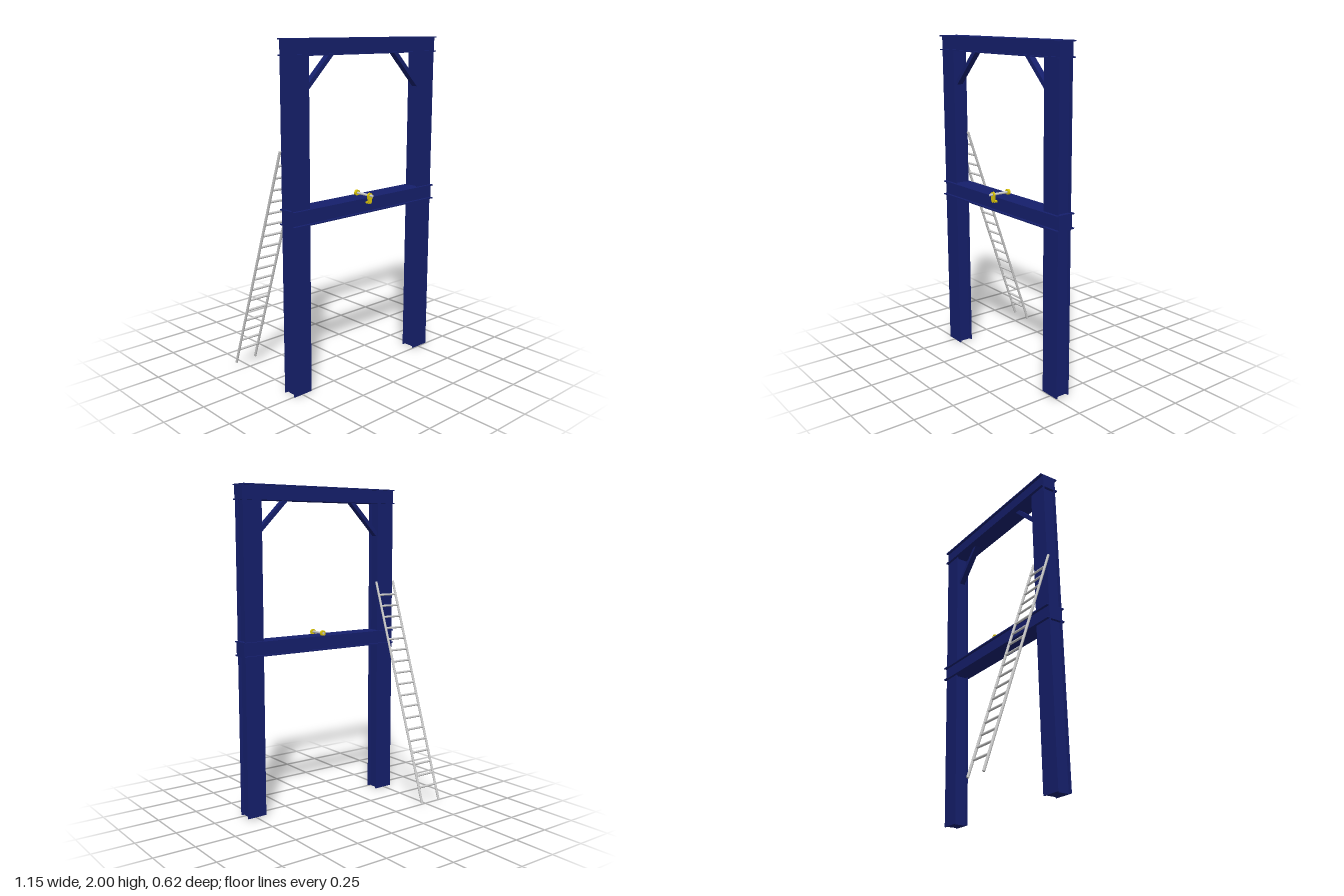
import * as THREE from 'three';

const NAVY = new THREE.MeshStandardMaterial({ color: 0x151f6c });
const YELLOW = new THREE.MeshStandardMaterial({ color: 0xdcc60c });
const GREY = new THREE.MeshStandardMaterial({ color: 0xcccccc });
const FRAME_Z = 0.213;

function add(parent, name, geometry, material, x = 0, y = 0, z = 0) {
  const mesh = new THREE.Mesh(geometry, material);
  mesh.name = name;
  mesh.position.set(x, y, z);
  parent.add(mesh);
  return mesh;
}

// Thick-webbed I-section extruded along +z: flanges lie along x, web along y
function iBeamGeometry(length) {
  const w = 0.0625, h = 0.045, t = 0.007, web = 0.045;
  const shape = new THREE.Shape([
    [-w, -h], [w, -h], [w, -h + t], [web, -h + t], [web, h - t], [w, h - t],
    [w, h], [-w, h], [-w, h - t], [-web, h - t], [-web, -h + t], [-w, -h + t],
  ].map(([x, y]) => new THREE.Vector2(x, y)));
  return new THREE.ExtrudeGeometry(shape, { depth: length, bevelEnabled: false });
}

// Round bar between two points
function rod(parent, name, a, b, radius, material, sides = 12) {
  const dir = b.clone().sub(a);
  const mesh = add(parent, name, new THREE.CylinderGeometry(radius, radius, dir.length(), sides), material);
  mesh.position.copy(a).add(b).multiplyScalar(0.5);
  mesh.quaternion.setFromUnitVectors(new THREE.Vector3(0, 1, 0), dir.normalize());
  return mesh;
}

function createFrame() {
  const frame = new THREE.Group();
  frame.name = 'steelFrame';

  // Cross beams with their flanges facing up and down
  for (const [name, y, end] of [['topBeam', 1.955, 0.568], ['middleBeam', 1.041, 0.573]]) {
    const beam = add(frame, name, iBeamGeometry(end + 0.557), NAVY, -0.557, y, FRAME_Z);
    beam.rotation.y = Math.PI / 2;
  }

  // Column lengths below and above the middle beam, flanges facing front and back
  for (const [name, x, base] of [['rightColumn', -0.494, 0], ['leftColumn', 0.502, 0.008]]) {
    for (const [part, from, to] of [['Lower', base, 0.998], ['Upper', 1.084, 1.912]]) {
      const column = add(frame, name + part, iBeamGeometry(to - from), NAVY, x, from, FRAME_Z);
      column.rotation.x = -Math.PI / 2;
    }
  }

  // Diagonal corner braces
  for (const side of [-1, 1]) {
    const brace = add(frame, side < 0 ? 'rightBrace' : 'leftBrace',
      new THREE.BoxGeometry(0.3, 0.025, 0.038), NAVY, side * 0.345 + 0.005, 1.82, FRAME_Z);
    brace.rotation.z = -side * Math.PI / 4;
  }
  return frame;
}

function createClamp() {
  const clamp = new THREE.Group();
  clamp.name = 'beamClamp';
  clamp.position.x = 0.003;

  // Hanging front plate with a hole for the spindle
  const plate = new THREE.Shape();
  plate.absarc(0, 1.097, 0.019, 0, Math.PI, false);
  plate.absarc(0, 1.064, 0.013, Math.PI, Math.PI * 2, false);
  const hole = new THREE.Path();
  hole.absarc(0, 1.1, 0.007, 0, Math.PI * 2, true);
  plate.holes.push(hole);
  add(clamp, 'clampPlate', new THREE.ExtrudeGeometry(plate, { depth: 0.01, bevelEnabled: false }), YELLOW, 0, 0, 0.279);
  add(clamp, 'clampFoot', new THREE.BoxGeometry(0.02, 0.011, 0.022), YELLOW, 0, 1.057, 0.271);

  // Spindle across the beam top and the collar at its back end
  const at = z => new THREE.Vector3(0, 1.1, z);
  rod(clamp, 'spindle', at(0.168), at(0.308), 0.0075, GREY, 16);
  rod(clamp, 'rearCollar', at(0.17), at(0.184), 0.018, YELLOW, 20);
  return clamp;
}

function createLadder() {
  const ladder = new THREE.Group();
  ladder.name = 'ladder';
  const xs = [-0.566, -0.424];
  const at = (x, t) => new THREE.Vector3(x, 0.031 + 1.377 * t, -0.3 + 0.471 * t);
  xs.forEach((x, i) => rod(ladder, i ? 'leftRail' : 'rightRail', at(x, 0), at(x, 1), 0.0078, GREY));

  // Evenly spaced rungs
  const count = 18;
  for (let i = 0; i < count; i++) {
    const t = 0.068 + (0.87 * i) / (count - 1);
    rod(ladder, 'rung', at(xs[0], t), at(xs[1], t), 0.007, GREY);
  }
  return ladder;
}

export function createModel() {
  const model = new THREE.Group();
  model.name = 'portalFrame';
  model.add(createFrame(), createClamp(), createLadder());
  return model;
}
